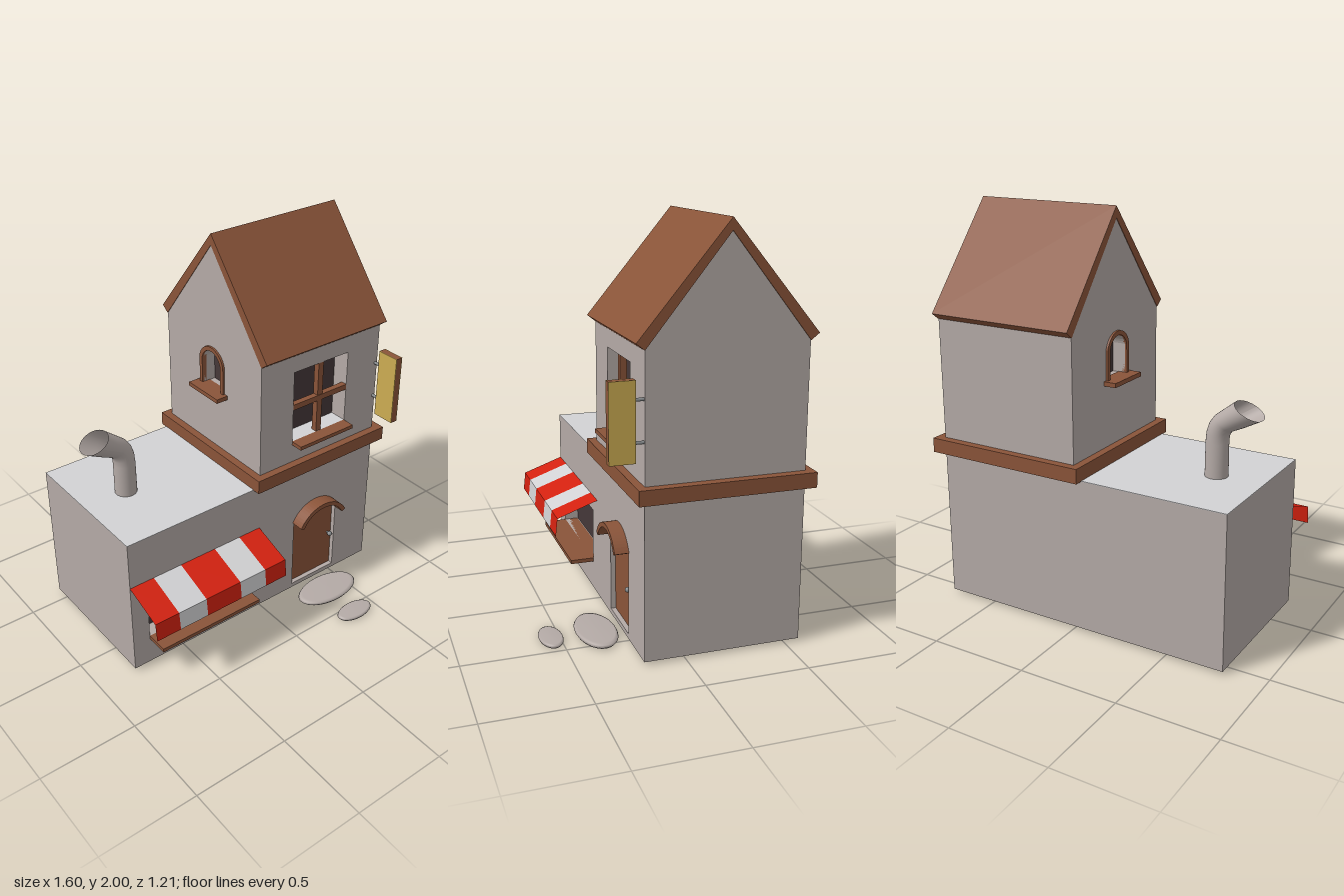
import * as THREE from 'three';

const mat = (name, color, side = THREE.FrontSide) => {
  const m = new THREE.MeshStandardMaterial({ color, side });
  m.name = name;
  return m;
};

// Closed shape from a list of [x, y] points
const poly = (pts) => new THREE.Shape(pts.map(([x, y]) => new THREE.Vector2(x, y)));
const rect = (x0, x1, y0, y1) => poly([[x0, y0], [x1, y0], [x1, y1], [x0, y1]]);

// Upright opening with a segmental arch on top
function arched(cx, half, y0, spring, top) {
  const sag = top - spring;
  const r = (half * half + sag * sag) / (2 * sag);
  const a = Math.asin(Math.min(1, half / r));
  const pts = [[cx - half, y0], [cx + half, y0]];
  for (let i = 0; i <= 16; i++) {
    const t = a - (2 * a * i) / 16;
    pts.push([cx + r * Math.sin(t), top - r + r * Math.cos(t)]);
  }
  return poly(pts);
}

// Extrude a shape between two z values, or (drawn with -z as its first axis) between two x values
function slabZ(shape, z0, z1) {
  return new THREE.ExtrudeGeometry(shape, { depth: z1 - z0, bevelEnabled: false }).translate(0, 0, z0);
}
function slabX(shape, x0, x1) {
  return slabZ(shape, x0, x1).rotateY(Math.PI / 2);
}

export function createModel() {
  const house = new THREE.Group();
  house.name = 'cornerShop';
  const wall = mat('plaster', 0xb4aaa6, THREE.DoubleSide);
  const light = mat('paleGrey', 0xd2d2d4, THREE.DoubleSide);
  const wood = mat('brownWood', 0x8a5439);
  const glass = mat('darkGlass', 0x453839);
  const red = mat('awningRed', 0xd3210f, THREE.DoubleSide);
  const gold = mat('gold', 0xccac52);
  const metal = mat('metal', 0x868a8c);

  const add = (name, geometry, material) => {
    const m = new THREE.Mesh(geometry, material);
    m.name = name;
    house.add(m);
    return m;
  };
  const box = (name, material, x0, x1, y0, y1, z0, z1) =>
    add(name, new THREE.BoxGeometry(x1 - x0, y1 - y0, z1 - z0)
      .translate((x0 + x1) / 2, (y0 + y1) / 2, (z0 + z1) / 2), material);

  // Ground floor: solid core plus a front wall with openings
  box('groundFloor', wall, -0.8, 0.75, 0.015, 0.78, -0.57, 0.12);
  const front = rect(-0.8, 0.75, 0.015, 0.78);
  const doorShape = arched(0.367, 0.147, 0.04, 0.45, 0.535);
  front.holes.push(rect(-0.705, -0.105, 0.18, 0.45), doorShape);
  add('groundFrontWall', slabZ(front, 0.12, 0.2), wall);
  box('flatRoof', light, -0.8, -0.015, 0.78, 0.783, -0.57, 0.2);
  box('shopWindow', glass, -0.705, -0.105, 0.18, 0.45, 0.12, 0.126);
  box('shopCounter', wood, -0.705, -0.105, 0.16, 0.18, 0.13, 0.32);

  // Door, knob and curved hood
  add('door', slabZ(doorShape, 0.12, 0.175), wood);
  add('doorKnob', new THREE.SphereGeometry(0.013, 16, 12).translate(0.488, 0.257, 0.197), metal);
  add('doorKnobStem', new THREE.CylinderGeometry(0.005, 0.005, 0.03, 10)
    .rotateX(Math.PI / 2).translate(0.488, 0.257, 0.185), metal);
  const hood = new THREE.Shape();
  const a0 = Math.PI / 2 - 1.1, a1 = Math.PI / 2 + 1.1;
  hood.absarc(0.367, 0.377, 0.174, a0, a1, false);
  hood.absarc(0.367, 0.377, 0.15, a1, a0, true);
  add('doorHood', slabZ(hood, 0.2, 0.27), wood);

  // Striped awning: open sheet with a sloped top and hanging edge
  const stripes = [-0.8, -0.665, -0.505, -0.3, -0.145, -0.015];
  const edge = [[0.53, 0.2], [0.455, 0.41], [0.36, 0.42]];
  for (let i = 0; i < 5; i++) {
    for (let j = 0; j < 2; j++) {
      const [ya, za] = edge[j], [yb, zb] = edge[j + 1];
      const x0 = stripes[i], x1 = stripes[i + 1];
      const g = new THREE.BufferGeometry();
      g.setAttribute('position', new THREE.Float32BufferAttribute(
        [x0, ya, za, x0, yb, zb, x1, yb, zb, x1, ya, za], 3));
      g.setIndex([0, 1, 2, 0, 2, 3]);
      g.computeVertexNormals();
      add(j ? 'awningEdge' : 'awningTop', g, i % 2 ? light : red);
    }
  }

  // Belt course and upper floor
  box('beltCourse', wood, -0.055, 0.795, 0.78, 0.853, -0.61, 0.24);
  add('upperFloor', slabX(poly([[0.57, 0.85], [0.57, 1.46], [0.185, 1.945], [-0.2, 1.46],
    [-0.2, 1.42], [-0.1, 1.42], [-0.1, 0.85]]), 0.06, 0.75), wall);
  const upperFront = rect(0.06, 0.75, 0.85, 1.42);
  upperFront.holes.push(rect(0.19, 0.54, 0.97, 1.365));
  add('upperFrontWall', slabZ(upperFront, 0.1, 0.2), wall);
  const gable = poly([[0.57, 0.85], [0.57, 1.46], [0.185, 1.945], [-0.2, 1.46], [-0.2, 0.85]]);
  const sideHole = arched(0.185, 0.075, 1.185, 1.33, 1.39);
  gable.holes.push(sideHole);
  add('leftGableWall', slabX(gable, -0.015, 0.06), wall);

  // Front window
  box('windowPane', glass, 0.19, 0.54, 0.97, 1.365, 0.1, 0.106);
  box('windowLedge', light, 0.19, 0.54, 0.968, 0.973, 0.106, 0.198);
  box('windowUpright', wood, 0.349, 0.381, 0.97, 1.365, 0.165, 0.197);
  box('windowCrossbar', wood, 0.19, 0.54, 1.153, 1.183, 0.168, 0.2);
  box('windowSill', wood, 0.19, 0.54, 0.953, 0.973, 0.19, 0.266);

  // Arched side window
  add('sideWindowPane', slabX(sideHole, 0.052, 0.058), glass);
  const frame = arched(0.185, 0.097, 1.175, 1.335, 1.412);
  frame.holes.push(sideHole);
  add('sideWindowFrame', slabX(frame, -0.026, 0.0), wood);
  box('sideWindowSill', wood, -0.08, 0.02, 1.165, 1.187, -0.302, -0.066);

  // Pitched roof
  add('pitchedRoof', slabX(poly([[-0.242, 1.487], [0.185, 2], [0.61, 1.487],
    [0.57, 1.456], [0.185, 1.943], [-0.202, 1.456]]), -0.018, 0.755), wood);

  // Hanging sign with gold faces and two brackets
  box('signBoard', wood, 0.722, 0.754, 0.965, 1.333, 0.243, 0.364);
  box('signFaceLeft', gold, 0.754, 0.758, 0.965, 1.333, 0.243, 0.364);
  box('signFaceRight', gold, 0.718, 0.722, 0.965, 1.333, 0.243, 0.364);
  for (const y of [1.052, 1.243]) {
    add('signBracket', new THREE.CylinderGeometry(0.008, 0.008, 0.06, 10)
      .rotateX(Math.PI / 2).translate(0.737, y, 0.22), metal);
  }

  // Bent, flaring chimney pipe: rings of [x, y, tilt, radius]
  const rings = [[-0.56, 0.78, 0, 0.056], [-0.56, 0.95, 0, 0.055], [-0.563, 0.99, 0.2, 0.055],
    [-0.573, 1.022, 0.45, 0.055], [-0.592, 1.047, 0.66, 0.055], [-0.65, 1.083, 0.68, 0.063],
    [-0.717, 1.125, 0.48, 0.077]];
  const sides = 32;
  const pipe = new THREE.CylinderGeometry(1, 1, 1, sides, rings.length - 1, true);
  const pos = pipe.attributes.position;
  for (let i = 0; i < pos.count; i++) {
    const [cx, cy, tilt, r] = rings[rings.length - 1 - Math.floor(i / (sides + 1))];
    const u = pos.getX(i) * r;
    pos.setXYZ(i, cx + u * Math.cos(tilt), cy + u * Math.sin(tilt), -0.185 + pos.getZ(i) * r);
  }
  pipe.computeVertexNormals();
  add('chimneyPipe', pipe, wall);

  // Stepping stones
  const profile = [[0, 0], [0.94, 0], [1, 0.4], [0.96, 0.75], [0.86, 0.95], [0, 1]]
    .map(([x, y]) => new THREE.Vector2(x, y));
  for (const [x, z, rx, rz, h] of [[0.37, 0.322, 0.185, 0.1, 0.025], [0.368, 0.545, 0.108, 0.058, 0.02]]) {
    add('steppingStone', new THREE.LatheGeometry(profile, 40).scale(rx, h, rz).translate(x, 0, z), wall);
  }
  return house;
}
